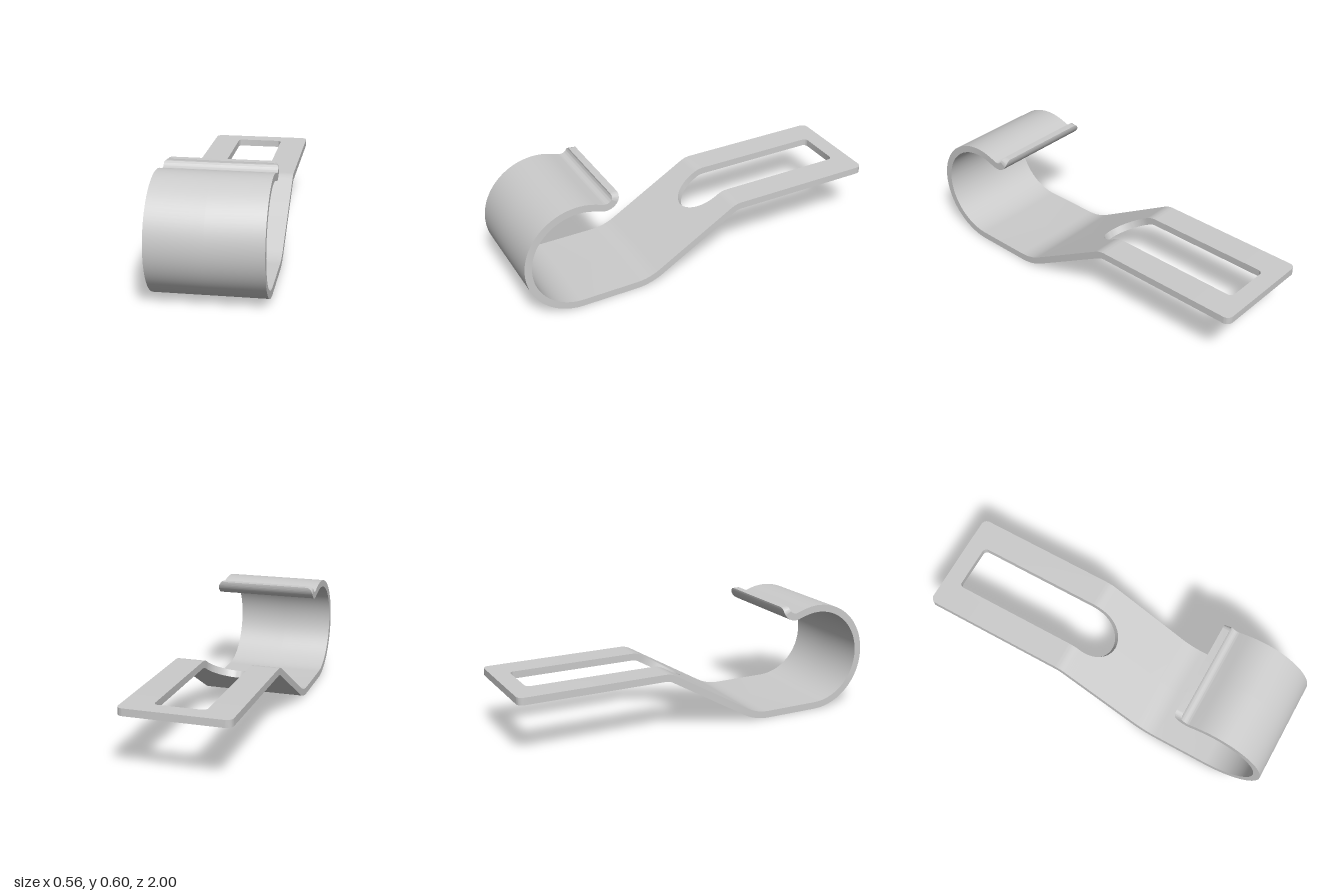
import * as THREE from 'three';
import { toCreasedNormals } from 'three/addons/utils/BufferGeometryUtils.js';

const T = 0.038;                       // sheet thickness
const HALF_W = 0.28;                   // half width of the strip
const CORNER = 0.033;                  // rounded strip corners
const SLOT = { start: 0.094, end: 1.011, half: 0.13, corner: 0.025, nose: 0.165 };
const deg = Math.PI / 180;

// Side profile along the middle of the sheet: [length] is straight, [radius, turn] is a bend
const SEGMENTS = [
  [0.783],            // slotted plate
  [0.1, -30 * deg],   // bend down
  [0.496],            // ramp
  [0.28, 30 * deg],   // bend to the floor
  [0.301],            // flat foot
  [0.277, 197.6 * deg], // big hook
  [0.046],
  [0.056, -107.6 * deg], // curled lip
];
const segLength = ([a, turn]) => (turn ? a * Math.abs(turn) : a);
const TOTAL = SEGMENTS.reduce((sum, seg) => sum + segLength(seg), 0);

// Position and heading at distance s along the profile
function profileAt(s) {
  let z = -1, y = 0.318, heading = 0;
  for (const seg of SEGMENTS) {
    const len = segLength(seg), d = Math.max(0, Math.min(s, len));
    const [r, turn] = seg;
    if (turn) {
      const side = Math.sign(turn), next = heading + turn * d / len;
      z += side * r * (Math.sin(next) - Math.sin(heading));
      y -= side * r * (Math.cos(next) - Math.cos(heading));
      heading = next;
    } else {
      z += d * Math.cos(heading);
      y += d * Math.sin(heading);
    }
    s -= len;
    if (s <= 0) break;
  }
  return { z, y, heading };
}

// Rounded-corner inset at distance d from an end
const inset = (d, r) => (d >= r ? 0 : r - Math.sqrt(Math.max(0, r * r - (r - d) ** 2)));
const outerHalf = s => HALF_W - inset(Math.min(s, TOTAL - s), CORNER);
function slotHalf(s) {
  if (s < SLOT.start || s >= SLOT.end) return 0;
  const t = Math.max(0, (s - (SLOT.end - SLOT.nose)) / SLOT.nose);
  return SLOT.half * Math.sqrt(1 - t * t) - inset(s - SLOT.start, SLOT.corner);
}

// Stations where the strip is sliced, denser in bends and rounded outlines
function stations() {
  const list = [0, TOTAL, SLOT.start, SLOT.end];
  let s = 0;
  for (const seg of SEGMENTS) {
    const len = segLength(seg);
    const n = seg[1] ? Math.ceil(Math.abs(seg[1]) / (4 * deg)) : 1;
    for (let i = 0; i < n; i++) list.push(s + len * i / n);
    s += len;
  }
  for (let i = 1; i <= 8; i++) {
    const k = 1 - Math.cos(i / 8 * Math.PI / 2);
    list.push(CORNER * k, TOTAL - CORNER * k, SLOT.start + SLOT.corner * k);
  }
  for (let i = 0; i < 24; i++) {
    list.push(SLOT.end - SLOT.nose * (1 - Math.sin(i / 24 * Math.PI / 2)));
  }
  list.sort((a, b) => a - b);
  const unique = list.filter((v, i) => i === 0 || v - list[i - 1] > 1e-6);
  // Doubled stations close the two strip ends and the square slot end
  const out = [{ s: 0, w: 0, h: 0 }];
  for (const v of unique) {
    if (Math.abs(v - SLOT.start) < 1e-6) out.push({ s: v, w: outerHalf(v), h: 0 });
    out.push({ s: v, w: outerHalf(v), h: slotHalf(v) });
  }
  out.push({ s: TOTAL, w: 0, h: 0 });
  return out;
}

function bentStrip() {
  const pos = [];
  const tri = (a, b, c) => {
    const n = b.clone().sub(a).cross(c.clone().sub(a));
    if (n.lengthSq() > 1e-18) for (const p of [a, b, c]) pos.push(p.x, p.y, p.z);
  };
  const slices = stations().map(st => ({ ...st, ...profileAt(st.s) }));
  for (const side of [1, -1]) {
    const quad = (a, b, c, d) => {
      if (side < 0) [b, d] = [d, b];
      tri(a, b, c);
      tri(a, c, d);
    };
    const point = (q, x, up) => new THREE.Vector3(
      side * x,
      q.y + up * Math.cos(q.heading) * T / 2,
      q.z - up * Math.sin(q.heading) * T / 2);
    for (let i = 0; i + 1 < slices.length; i++) {
      const a = slices[i], b = slices[i + 1];
      if (b.s - a.s > 1e-7) {
        quad(point(a, a.h, 1), point(b, b.h, 1), point(b, b.w, 1), point(a, a.w, 1));
        quad(point(a, a.h, -1), point(a, a.w, -1), point(b, b.w, -1), point(b, b.h, -1));
      }
      // Outer rim, then slot wall
      quad(point(a, a.w, 1), point(b, b.w, 1), point(b, b.w, -1), point(a, a.w, -1));
      if (a.h > 0 || b.h > 0) {
        quad(point(a, a.h, 1), point(a, a.h, -1), point(b, b.h, -1), point(b, b.h, 1));
      }
    }
  }
  const geometry = new THREE.BufferGeometry();
  geometry.setAttribute('position', new THREE.Float32BufferAttribute(pos, 3));
  return toCreasedNormals(geometry, 35 * deg);
}

export function createModel() {
  const group = new THREE.Group();
  group.name = 'slottedSpringClip';
  const clip = new THREE.Mesh(bentStrip(), new THREE.MeshStandardMaterial({ color: 0xcccccc }));
  clip.name = 'bentStrip';
  group.add(clip);
  return group;
}
